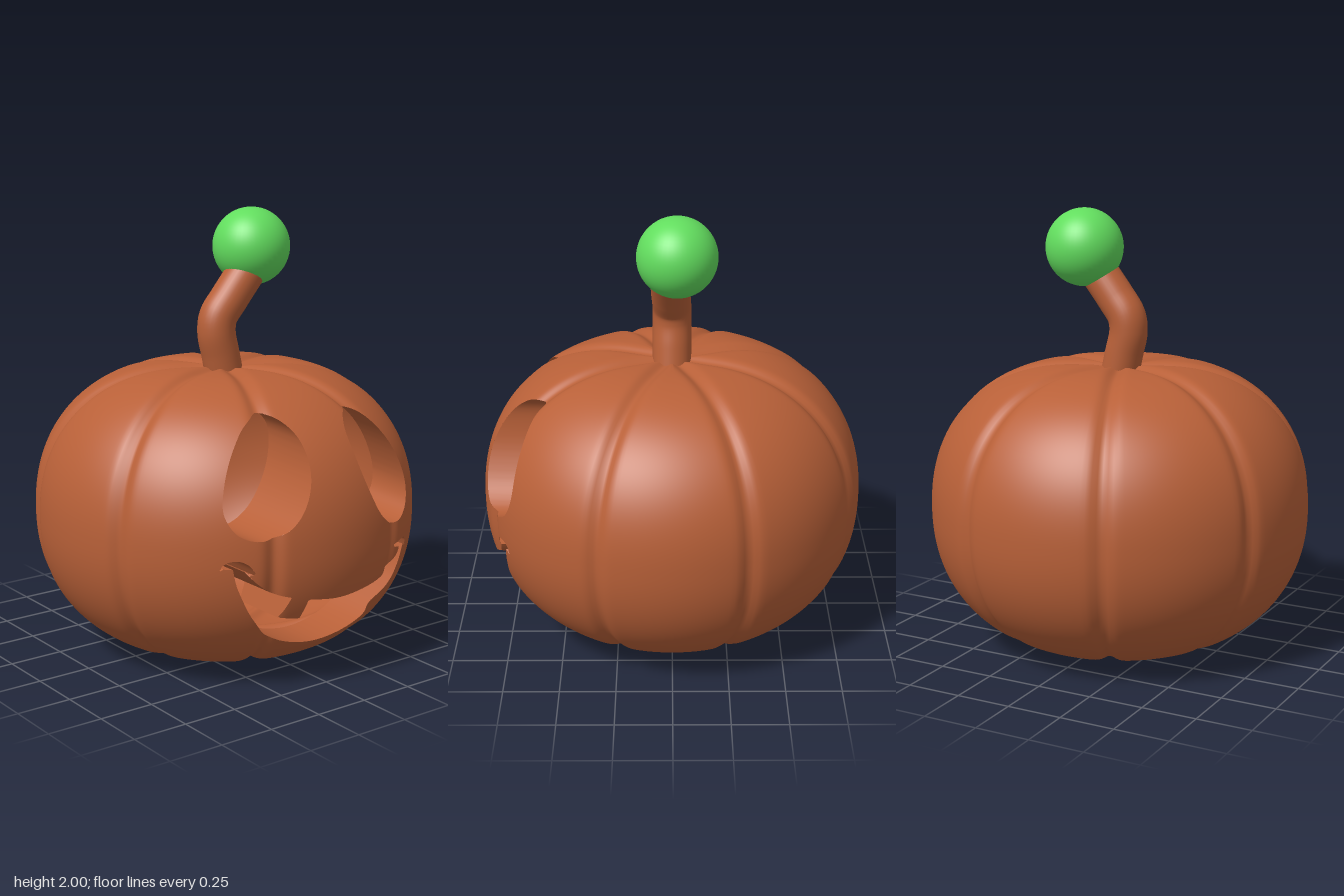
import * as THREE from 'three';
import { mergeVertices, toCreasedNormals } from 'three/addons/utils/BufferGeometryUtils.js';

const MID = 0.655;            // height of the widest ring
const POWER = 2.2;            // squareness of the profile
const CUT_END = 0.49;         // x at which the carved walls stop
const V2 = (p) => new THREE.Vector2(p[0], p[1]);
const soft = (v) => Math.sign(v) * Math.abs(v) ** (2 / POWER);
const ringRadius = (a) => 0.2 + 0.667 * soft(Math.max(Math.cos(a), 0));

// Ribbed body: r is the ring radius, a the profile angle, phi the turn around y.
function skin(phi, a, r) {
  const off = ((phi / (Math.PI / 4) + 0.5) % 1 + 1) % 1;      // grooves lie between eight ribs
  const d = r * Math.sin(Math.min(off, 1 - off) * Math.PI / 4);
  const g = 0.022 * Math.max(Math.exp(-((d / 0.034) ** 2)), Math.exp(-((r / 0.1) ** 2)));
  const R = r - g * Math.cos(a);
  return new THREE.Vector3(R * Math.cos(phi), MID + 0.65 * soft(Math.sin(a)) - g * Math.sin(a), R * Math.sin(phi));
}

// Point on the +x side of the body at a given z and y.
function skinAt(z, y) {
  let Z = z, Y = y, p;
  for (let i = 0; i < 10; i++) {
    const h = THREE.MathUtils.clamp((Y - MID) / 0.65, -1, 1);
    const a = Math.asin(Math.sign(h) * Math.abs(h) ** (POWER / 2));
    const r = ringRadius(a);
    p = skin(Math.asin(THREE.MathUtils.clamp(Z / r, -1, 1)), a, r);
    Z += z - p.z;
    Y += y - p.y;
  }
  return new THREE.Vector3(p.x, y, z);
}

// Carved outlines as counter-clockwise loops of (z, y).
function faceOutlines() {
  const eye = (pts) => {
    const c = new THREE.CatmullRomCurve3(pts.map((p) => new THREE.Vector3(p[0], p[1], 0)), true);
    return c.getPoints(48).slice(0, -1).map((p) => new THREE.Vector2(p.x, p.y));
  };
  const eyeLeft = eye([[-0.19, 1.17], [-0.13, 1.11], [-0.125, 0.99], [-0.16, 0.86], [-0.235, 0.735],
    [-0.345, 0.675], [-0.45, 0.725], [-0.48, 0.82], [-0.435, 0.97], [-0.345, 1.1], [-0.265, 1.162]]);
  const eyeRight = eye([[0.2, 1.195], [0.135, 1.13], [0.13, 0.99], [0.19, 0.84], [0.27, 0.755],
    [0.37, 0.72], [0.46, 0.745], [0.505, 0.83], [0.485, 0.94], [0.42, 1.06], [0.31, 1.165]]);
  const m = new THREE.Shape();
  const spline = (pts) => m.splineThru(pts.map(V2));
  m.moveTo(0.485, 0.605);
  spline([[0.46, 0.51], [0.38, 0.365], [0.25, 0.245], [0.02, 0.187], [-0.21, 0.24], [-0.375, 0.4], [-0.44, 0.552]]);
  m.lineTo(-0.475, 0.53);
  spline([[-0.455, 0.575], [-0.42, 0.588], [-0.375, 0.58], [-0.33, 0.562]]);      // smile crease
  m.lineTo(-0.4, 0.555);
  spline([[-0.37, 0.512], [-0.3, 0.468], [-0.2, 0.438], [0, 0.42], [0.165, 0.44]]);
  m.lineTo(0.185, 0.348);                                        // single tooth
  m.lineTo(0.278, 0.365);
  m.lineTo(0.245, 0.46);
  spline([[0.32, 0.485], [0.39, 0.535], [0.445, 0.595]]);
  m.lineTo(0.395, 0.572);
  spline([[0.425, 0.618], [0.465, 0.64], [0.51, 0.632], [0.54, 0.592]]);         // smile crease
  m.lineTo(0.515, 0.607);
  return [eyeLeft, eyeRight, m.getPoints(5)].map((pts) => {
    const loop = pts.filter((p, i) => p.distanceTo(pts[(i + 1) % pts.length]) > 1e-5);
    return THREE.ShapeUtils.isClockWise(loop) ? loop.reverse() : loop;
  });
}

// Signed distance to the outlines: negative inside an opening.
function holeDistance(loops, z, y) {
  let best = Infinity;
  for (const loop of loops) {
    let inside = false, d2 = Infinity;
    for (let i = 0, j = loop.length - 1; i < loop.length; j = i++) {
      const a = loop[i], b = loop[j], ex = b.x - a.x, ey = b.y - a.y;
      const k = THREE.MathUtils.clamp(((z - a.x) * ex + (y - a.y) * ey) / (ex * ex + ey * ey), 0, 1);
      d2 = Math.min(d2, (z - a.x - k * ex) ** 2 + (y - a.y - k * ey) ** 2);
      if ((a.y > y) !== (b.y > y) && z < a.x + ex * (y - a.y) / ey) inside = !inside;
    }
    best = Math.min(best, inside ? -Math.sqrt(d2) : Math.sqrt(d2));
  }
  return best;
}

// Full skin, finer toward the face, with the openings clipped out.
function carvedSkin(loops, cols, rows) {
  const pos = [], idx = [], cap = 10;
  for (let j = 0; j <= rows; j++) {
    const t = THREE.MathUtils.clamp((j - cap) / (rows - 2 * cap), 0, 1);
    const a = (t - 0.5) * Math.PI;
    const r = j < cap ? 0.2 * j / cap : j > rows - cap ? 0.2 * (rows - j) / cap : ringRadius(a);
    for (let i = 0; i < cols; i++) {
      const u = (i / cols - 0.5) * 2 * Math.PI;
      pos.push(...skin(u - 0.45 * Math.sin(u), a, r).toArray());
      if (j === rows) continue;
      const n = (i + 1) % cols, A = j * cols + i, B = j * cols + n, C = A + cols, D = B + cols;
      idx.push(A, C, B, B, C, D);
    }
  }
  const grid = new THREE.BufferGeometry();
  grid.setAttribute('position', new THREE.Float32BufferAttribute(pos, 3));
  grid.setIndex(idx);
  grid.computeVertexNormals();
  const verts = [];
  for (let i = 0; i < pos.length / 3; i++) {
    const p = new THREE.Vector3().fromBufferAttribute(grid.attributes.position, i);
    const n = new THREE.Vector3().fromBufferAttribute(grid.attributes.normal, i);
    verts.push({ p, n, f: p.x > 0 && Math.abs(p.z) < 0.6 ? holeDistance(loops, p.z, p.y) : 1 });
  }
  const outP = [], outN = [];
  for (let k = 0; k < idx.length; k += 3) {
    const tri = [verts[idx[k]], verts[idx[k + 1]], verts[idx[k + 2]]], poly = [];
    tri.forEach((a, i) => {
      const b = tri[(i + 1) % 3];
      if (a.f >= 0) poly.push(a);
      if ((a.f >= 0) !== (b.f >= 0)) {
        const t = a.f / (a.f - b.f);
        poly.push({ p: a.p.clone().lerp(b.p, t), n: a.n.clone().lerp(b.n, t).normalize() });
      }
    });
    for (let i = 1; i + 1 < poly.length; i++) {
      for (const v of [poly[0], poly[i], poly[i + 1]]) {
        outP.push(v.p.x, v.p.y, v.p.z);
        outN.push(v.n.x, v.n.y, v.n.z);
      }
    }
  }
  const geo = new THREE.BufferGeometry();
  geo.setAttribute('position', new THREE.Float32BufferAttribute(outP, 3));
  geo.setAttribute('normal', new THREE.Float32BufferAttribute(outN, 3));
  return mergeVertices(geo);
}

// Cut wall of one opening, running straight along x from the skin into the hollow.
function cutWall(loop) {
  const pts = [];
  loop.forEach((a, i) => {
    const b = loop[(i + 1) % loop.length], n = Math.ceil(a.distanceTo(b) / 0.03);
    for (let k = 0; k < n; k++) pts.push(a.clone().lerp(b, k / n));
  });
  const pos = [], idx = [];
  pts.forEach((p, i) => {
    pos.push(...skinAt(p.x, p.y).toArray(), CUT_END, p.y, p.x);
    const A = 2 * i, B = 2 * ((i + 1) % pts.length);
    idx.push(A, A + 1, B, B, A + 1, B + 1);
  });
  const geo = new THREE.BufferGeometry();
  geo.setAttribute('position', new THREE.Float32BufferAttribute(pos, 3));
  geo.setIndex(idx);
  return toCreasedNormals(geo, 0.5);
}

export function createModel() {
  const model = new THREE.Group();
  model.name = 'carvedPumpkin';
  const orange = new THREE.MeshStandardMaterial({ color: 0xb86038, side: THREE.DoubleSide });
  orange.name = 'pumpkinOrange';
  const green = new THREE.MeshStandardMaterial({ color: 0x62dd5e });
  green.name = 'ballGreen';
  const add = (name, geo, mat) => {
    const mesh = new THREE.Mesh(geo, mat);
    mesh.name = name;
    model.add(mesh);
    return mesh;
  };

  // Hollow ribbed body with carved face
  const loops = faceOutlines();
  add('ribbedSkin', carvedSkin(loops, 320, 170), orange);
  ['leftEyeCut', 'rightEyeCut', 'mouthCut'].forEach((name, i) => add(name, cutWall(loops[i]), orange));

  // Bent stem with a ball on its tip
  const path = new THREE.CatmullRomCurve3([[0, 1.26, 0], [0, 1.35, 0.02], [0, 1.45, 0.042], [0, 1.52, 0.033],
    [0.005, 1.6, -0.025], [0.01, 1.73, -0.13]].map((p) => new THREE.Vector3(...p)));
  add('stem', new THREE.TubeGeometry(path, 32, 0.087, 32), orange);
  add('stemBall', new THREE.SphereGeometry(0.177, 48, 32), green).position.set(-0.022, 1.824, -0.17);
  return model;
}
